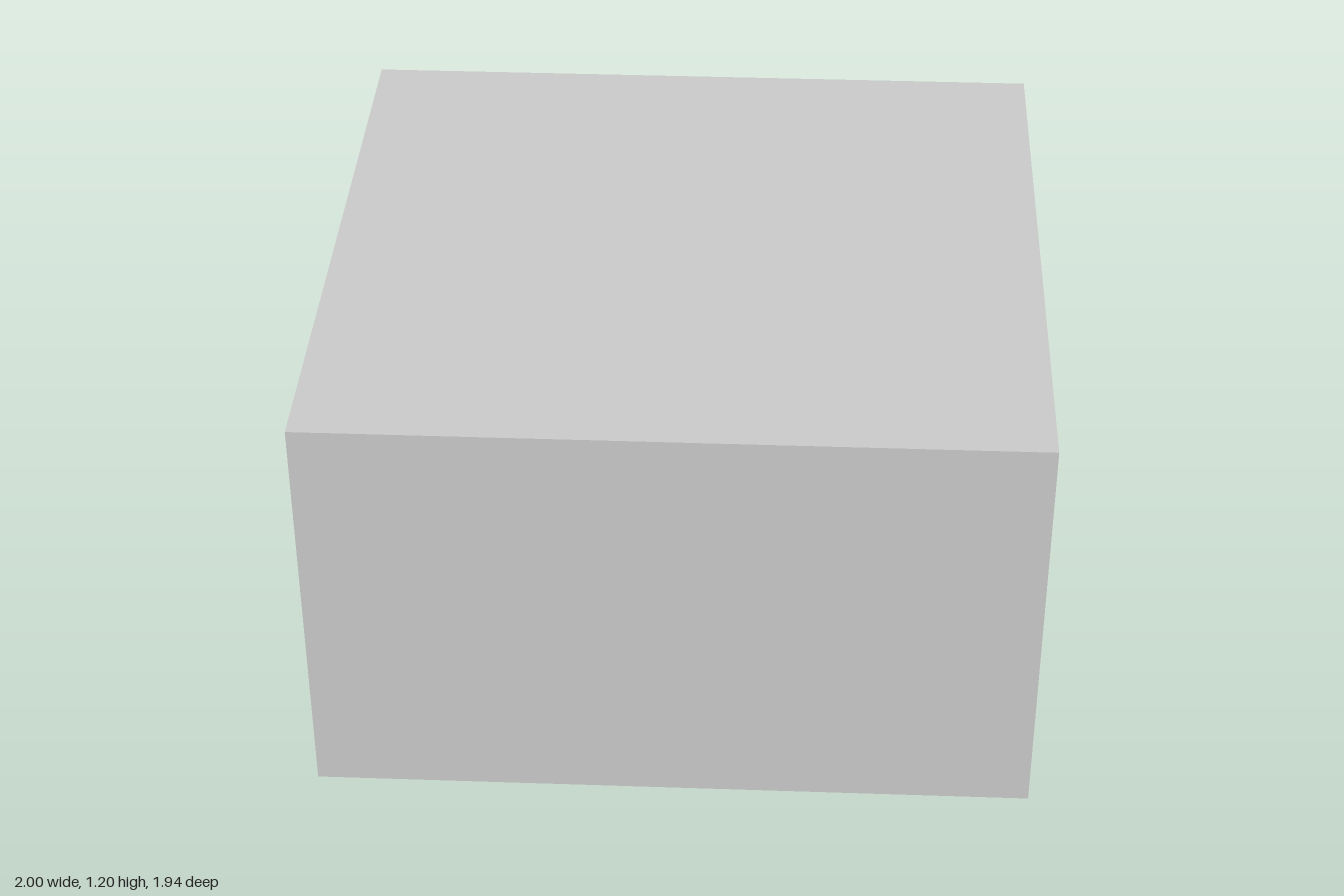
import * as THREE from 'three';

const material = new THREE.MeshStandardMaterial({ color: 0xcccccc, flatShading: true, side: THREE.DoubleSide });

// Dimensions
const HEIGHT = 1.2, FRONT = 0.97, FACADE = -0.92, INNER = -0.775, EAVE = -0.97;
const DOOR = { x0: -0.58, x1: -0.083, top: 0.917 };
const INSET = 0.077;

function addMesh(group, name, geometry, x = 0, y = 0, z = 0) {
  const mesh = new THREE.Mesh(geometry, material);
  mesh.name = name;
  mesh.position.set(x, y, z);
  group.add(mesh);
  return mesh;
}

function outline(points, Type = THREE.Shape) {
  return new Type(points.map(([x, y]) => new THREE.Vector2(x, y)));
}

function rectangle(x0, x1, y0, y1) {
  return [[x0, y0], [x1, y0], [x1, y1], [x0, y1]];
}

function extrude(shape, depth) {
  return new THREE.ExtrudeGeometry(shape, { depth, bevelEnabled: false });
}

export function createModel() {
  const building = new THREE.Group();
  building.name = 'shopBuilding';

  // Thin outer shell, closed at -z by the shop facade
  const length = FRONT - INNER, midZ = (FRONT + INNER) / 2;
  addMesh(building, 'plainWall', new THREE.PlaneGeometry(2, HEIGHT), 0, HEIGHT / 2, FRONT);
  for (const side of [-1, 1]) {
    const wall = addMesh(building, side > 0 ? 'leftWall' : 'rightWall',
      new THREE.PlaneGeometry(length, HEIGHT), side, HEIGHT / 2, midZ);
    wall.rotation.y = side * Math.PI / 2;
  }
  const roof = addMesh(building, 'roof', new THREE.PlaneGeometry(2, length), 0, HEIGHT, midZ);
  roof.rotation.x = -Math.PI / 2;
  const floor = addMesh(building, 'floor', new THREE.PlaneGeometry(2, length), 0, 0, midZ);
  floor.rotation.x = Math.PI / 2;

  // Thick facade with a shop window opening and a doorway notch
  const facade = outline([
    [-1, 0], [DOOR.x0, 0], [DOOR.x0, DOOR.top], [DOOR.x1, DOOR.top], [DOOR.x1, 0],
    [1, 0], [1, HEIGHT], [-1, HEIGHT],
  ]);
  facade.holes.push(outline(rectangle(0.063, 0.935, 0.32, 0.917), THREE.Path));
  addMesh(building, 'facade', extrude(facade, INNER - FACADE), 0, 0, FACADE);

  // Recessed door with a blind window panel
  const pane = rectangle(-0.53, -0.132, 0.437, 0.788);
  const door = outline(rectangle(DOOR.x0, DOOR.x1, 0, DOOR.top));
  door.holes.push(outline(pane, THREE.Path));
  addMesh(building, 'door', extrude(door, INSET), 0, 0, INNER);
  addMesh(building, 'doorPane', new THREE.ShapeGeometry(outline(pane)), 0, 0, INNER + INSET);

  // Overhanging fascia above the shop front
  const fascia = new THREE.BoxGeometry(2, HEIGHT - 0.98, FACADE - EAVE);
  addMesh(building, 'fascia', fascia, 0, (HEIGHT + 0.98) / 2, (FACADE + EAVE) / 2);

  return building;
}
